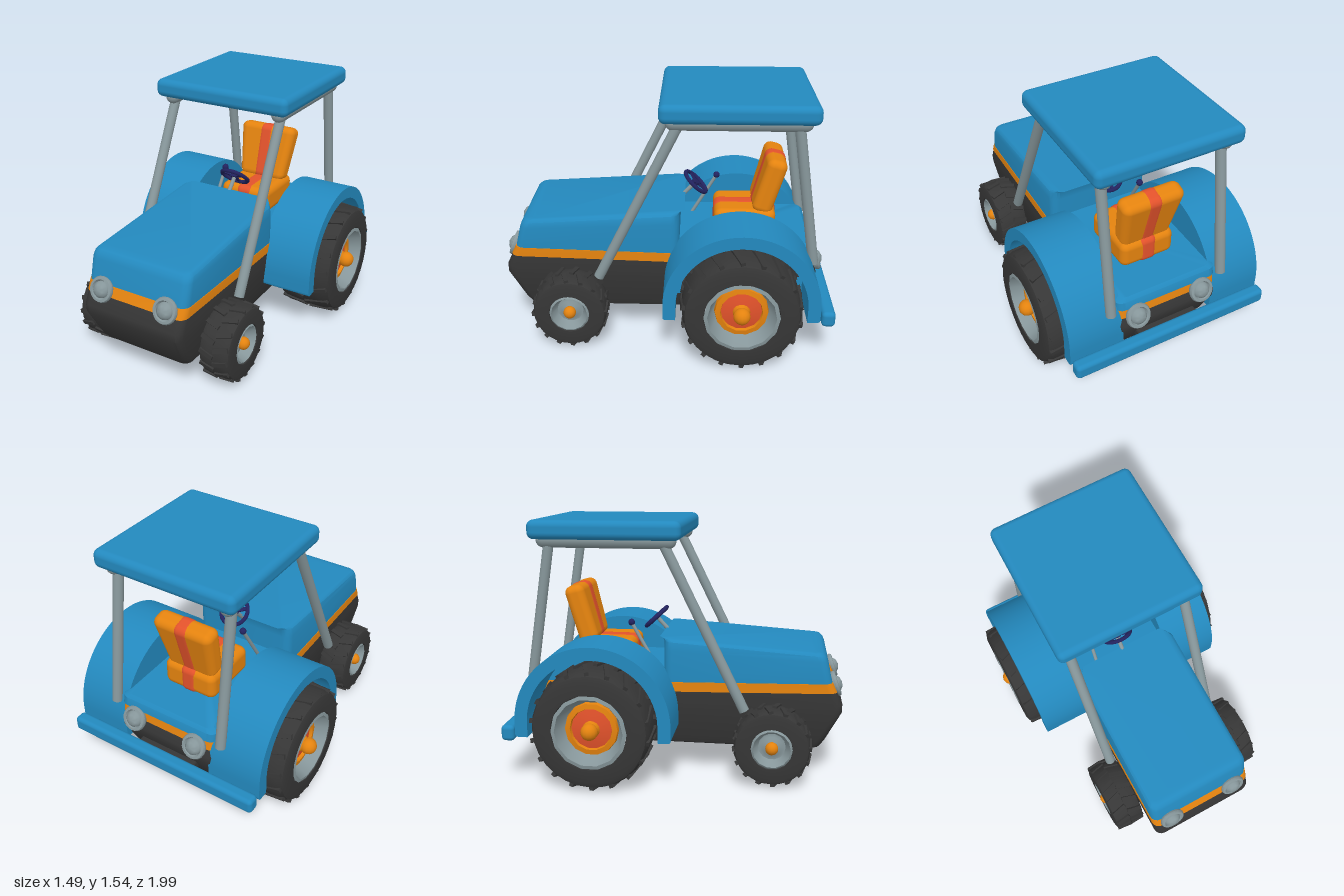
import * as THREE from 'three';
import { toCreasedNormals } from 'three/addons/utils/BufferGeometryUtils.js';
import { RoundedBoxGeometry } from 'three/addons/geometries/RoundedBoxGeometry.js';

const paint = (name, color) => {
  const m = new THREE.MeshStandardMaterial({ color });
  m.name = name;
  return m;
};

export function createModel() {
  const blue = paint('blue paint', 0x2389be);
  const grey = paint('grey metal', 0x87979b);
  const black = paint('black rubber', 0x363636);
  const orange = paint('orange paint', 0xe4830f);
  const red = paint('red paint', 0xe2522b);
  const navy = paint('navy plastic', 0x23235f);
  const model = new THREE.Group();
  model.name = 'tractor';

  const add = (name, geo, mat, pos = [0, 0, 0], parent = model) => {
    const mesh = new THREE.Mesh(geo, mat);
    mesh.name = name;
    mesh.position.set(...pos);
    parent.add(mesh);
    return mesh;
  };
  const box = (name, size, pos, r, mat, parent) =>
    add(name, new RoundedBoxGeometry(...size, 3, r), mat, pos, parent);
  const rod = (name, a, b, r, mat) => {
    const from = new THREE.Vector3(...a), to = new THREE.Vector3(...b);
    const mesh = add(name, new THREE.CylinderGeometry(r, r, from.distanceTo(to), 14), mat);
    mesh.position.copy(from).lerp(to, 0.5);
    mesh.quaternion.setFromUnitVectors(new THREE.Vector3(0, 1, 0), to.sub(from).normalize());
    return mesh;
  };

  // Stack of rounded rectangles, each [front z, front y, back z, back y, half width, corner]
  const loft = (levels) => {
    const verts = [], index = [], steps = 5, n = 4 * steps;
    for (const [zf, yf, zb, yb, w, r] of levels) {
      for (let c = 0; c < 4; c++) for (let s = 0; s < steps; s++) {
        const a = (c + s / (steps - 1)) * Math.PI / 2;
        const x = (c === 0 || c === 3 ? w - r : r - w) + r * Math.cos(a);
        const z = (c < 2 ? zf - r : zb + r) + r * Math.sin(a);
        verts.push(x, yb + (yf - yb) * (z - zb) / (zf - zb), z);
      }
    }
    for (let i = 0; i < levels.length - 1; i++) for (let j = 0; j < n; j++) {
      const a = i * n + j, b = i * n + (j + 1) % n;
      index.push(a, a + n, b, b, a + n, b + n);
    }
    const top = (levels.length - 1) * n;
    for (let j = 1; j < n - 1; j++) {
      index.push(0, j, j + 1);
      index.push(top, top + j + 1, top + j);
    }
    const g = new THREE.BufferGeometry();
    g.setAttribute('position', new THREE.Float32BufferAttribute(verts, 3));
    g.setIndex(index);
    return toCreasedNormals(g, 0.6);
  };

  // Body in coloured layers
  add('chassis', loft([
    [0.83, 0.17, -0.78, 0.17, 0.27, 0.05], [0.86, 0.185, -0.81, 0.185, 0.3, 0.05],
    [0.89, 0.23, -0.84, 0.23, 0.315, 0.05], [0.985, 0.41, -0.92, 0.4, 0.333, 0.05],
    [0.985, 0.46, -0.92, 0.44, 0.335, 0.05], [0.95, 0.535, -0.9, 0.49, 0.335, 0.05]]), black);
  add('bodyStripe', loft([[0.952, 0.535, -0.902, 0.49, 0.338, 0.05],
    [0.925, 0.592, -0.89, 0.55, 0.338, 0.05]]), orange);
  add('hood', loft([[0.922, 0.592, -0.08, 0.56, 0.335, 0.05], [0.89, 0.72, -0.08, 0.76, 0.335, 0.05],
    [0.878, 0.75, -0.08, 0.815, 0.328, 0.05], [0.86, 0.767, -0.09, 0.83, 0.312, 0.04],
    [0.83, 0.772, -0.11, 0.836, 0.29, 0.03]]), blue);
  add('deck', loft([[-0.05, 0.57, -0.9, 0.55, 0.333, 0.05], [-0.05, 0.61, -0.89, 0.6, 0.333, 0.05],
    [-0.05, 0.63, -0.87, 0.62, 0.31, 0.05]]), blue);
  box('rearBumper', [1.28, 0.095, 0.08], [0, 0.305, -0.96], 0.025, blue);
  box('bumperMount', [0.4, 0.07, 0.12], [0, 0.305, -0.88], 0.02, black);

  // Arched fenders with inner walls
  const arch = (inner) => {
    const s = new THREE.Shape();
    s.moveTo(0.46, -0.07);
    s.lineTo(0.46, 0);
    s.absarc(0, 0, 0.46, 0, Math.PI, false);
    s.lineTo(-0.46, -0.07);
    s.quadraticCurveTo(-0.46, -0.09, -0.44, -0.09);
    if (inner) {
      s.lineTo(-inner, -0.09);
      s.lineTo(-inner, 0);
      s.absarc(0, 0, inner, Math.PI, 0, true);
      s.lineTo(inner, -0.09);
    }
    s.lineTo(0.44, -0.09);
    s.quadraticCurveTo(0.46, -0.09, 0.46, -0.07);
    return s;
  };
  const slab = (shape, depth) => toCreasedNormals(new THREE.ExtrudeGeometry(shape,
    { depth, bevelEnabled: false, curveSegments: 28 }).rotateY(-Math.PI / 2), 0.6);
  const fenderGeo = slab(arch(0.385), 0.31), wallGeo = slab(arch(0), 0.035);
  for (const side of [-1, 1]) {
    add('fender', fenderGeo, blue, [side < 0 ? -0.33 : 0.64, 0.38, -0.45]);
    add('fenderWall', wallGeo, blue, [side < 0 ? -0.299 : 0.334, 0.38, -0.45]);
  }

  // Wheels, built along +x with the outer face at +h
  const lathe = (pts, n) => toCreasedNormals(new THREE.LatheGeometry(
    pts.map((p) => new THREE.Vector2(...p)), n).rotateZ(-Math.PI / 2), 0.7);
  const wheel = (name, side, x, y, z, R, h, rim, bands, hub, lugs) => {
    const g = new THREE.Group();
    g.name = name;
    g.position.set(side * x, y, z);
    if (side < 0) g.rotation.y = Math.PI;
    model.add(g);
    const r = R - 0.012;
    add('tyre', lathe([[0, 0.04 - h], [rim, 0.04 - h], [rim, -h], [r * 0.87, -h], [r * 0.95, -h * 0.94],
      [r * 0.99, -h * 0.75], [r, -h * 0.4], [r, h * 0.4], [r * 0.99, h * 0.75], [r * 0.95, h * 0.94],
      [r * 0.87, h], [rim, h], [rim * 0.98, h - 0.02]], 28), black, [0, 0, 0], g);
    for (const b of bands) add(b[0], lathe(b[2], 14), b[1], [0, 0, 0], g);
    add('hub', new THREE.SphereGeometry(hub, 14, 10), orange, [h - 0.025, 0, 0], g);
    // Angled tread bars, staggered on the two halves
    const bar = new THREE.BoxGeometry(h * 0.95, 0.024, 0.026);
    for (let i = 0; i < lugs; i++) for (const half of [-1, 1]) {
      const pivot = new THREE.Group();
      pivot.name = 'tread';
      pivot.rotation.x = (i + half * 0.25) / lugs * Math.PI * 2;
      g.add(pivot);
      const m = add('treadBar', bar, black, [half * h * 0.45, R - 0.015, 0], pivot);
      m.rotation.set(0, half * 0.3, -half * 0.06);
    }
  };
  for (const s of [-1, 1]) {
    const a = 0.18, b = 0.097;
    wheel('rearWheel', s, 0.54, 0.36, -0.45, 0.36, a, 0.222, [
      ['rim', grey, [[0.222, a - 0.005], [0.2, a], [0.165, a - 0.09], [0.155, a - 0.1]]],
      ['rimRing', orange, [[0.16, a - 0.1], [0.155, a - 0.07], [0.125, a - 0.065], [0.12, a - 0.085]]],
      ['rimDisc', red, [[0.125, a - 0.085], [0.05, a - 0.07], [0, a - 0.07]]],
      ['hubStalk', orange, [[0.055, a - 0.08], [0.035, a - 0.025], [0, a - 0.025]]],
    ], 0.05, 18);
    wheel('frontWheel', s, 0.427, 0.24, 0.58, 0.235, b, 0.122, [
      ['rim', grey, [[0.122, b - 0.01], [0.11, b], [0.08, b - 0.06], [0.06, b - 0.06], [0.03, b - 0.04], [0, b - 0.04]]],
    ], 0.038, 16);
  }
  rod('rearAxle', [-0.45, 0.36, -0.45], [0.45, 0.36, -0.45], 0.06, black);
  rod('frontAxle', [-0.4, 0.24, 0.58], [0.4, 0.24, 0.58], 0.045, black);

  // Roof on four posts and two rails
  box('roof', [0.905, 0.113, 0.905], [0, 1.478, -0.412], 0.04, blue);
  for (const s of [-1, 1]) {
    const x = s * 0.37;
    add('roofRail', new THREE.CapsuleGeometry(0.046, 0.74, 6, 14).rotateX(Math.PI / 2), grey, [x, 1.416, -0.41]);
    rod('frontPost', [x, 0.42, 0.41], [x, 1.4, -0.07], 0.031, grey);
    rod('rearPost', [x, 0.54, -0.885], [x, 1.4, -0.75], 0.031, grey);
  }

  // Lamps front and back
  const lampGeo = toCreasedNormals(new THREE.LatheGeometry([[0, -0.05], [0.055, -0.05], [0.074, -0.01],
    [0.078, 0.005], [0.072, 0.018], [0.058, 0.02], [0.05, 0.005], [0.047, 0.02], [0.03, 0.036], [0, 0.043]]
    .map((p) => new THREE.Vector2(...p)), 20), 0.7);
  for (const s of [-1, 1]) {
    add('headlamp', lampGeo, grey, [s * 0.217, 0.565, 0.942]).rotation.x = Math.PI / 2 - 0.35;
    add('rearLamp', lampGeo, grey, [s * 0.213, 0.495, -0.92]).rotation.x = 0.35 - Math.PI / 2;
  }

  // Seat with a red centre panel
  box('seatCushion', [0.35, 0.17, 0.38], [0, 0.7, -0.48], 0.045, orange);
  box('cushionPanel', [0.125, 0.176, 0.388], [0, 0.7, -0.48], 0.04, red);
  const back = new THREE.Group();
  back.name = 'seatBack';
  back.position.set(0, 0.935, -0.625);
  back.rotation.x = -0.26;
  model.add(back);
  const backrest = new RoundedBoxGeometry(0.36, 0.37, 0.125, 4, 0.045);
  const p = backrest.attributes.position;
  for (let i = 0; i < p.count; i++) p.setX(i, p.getX(i) * (1 + p.getY(i) * 0.68));
  add('backrest', backrest, orange, [0, 0, 0], back);
  box('backrestPanel', [0.13, 0.374, 0.131], [0, 0, 0], 0.045, red, back);

  // Steering wheel and lever
  rod('steeringColumn', [0, 0.79, -0.07], [0, 0.9, -0.172], 0.013, grey);
  const steer = new THREE.Group();
  steer.name = 'steeringWheel';
  steer.position.set(0, 0.903, -0.175);
  steer.rotation.x = -0.75;
  model.add(steer);
  add('steeringRim', new THREE.TorusGeometry(0.088, 0.013, 8, 24).rotateX(Math.PI / 2), navy, [0, 0, 0], steer);
  add('steeringHub', new THREE.CylinderGeometry(0.026, 0.026, 0.02, 14), navy, [0, 0, 0], steer);
  for (let i = 0; i < 3; i++) {
    const spoke = new THREE.BoxGeometry(0.085, 0.01, 0.022).translate(0.045, 0, 0);
    add('spoke', spoke, navy, [0, 0, 0], steer).rotation.y = Math.PI / 2 + i * Math.PI * 2 / 3;
  }
  rod('gearLever', [-0.16, 0.6, -0.14], [-0.148, 0.89, -0.308], 0.011, grey);
  add('leverKnob', new THREE.SphereGeometry(0.021, 12, 10), navy, [-0.148, 0.892, -0.308]);
  return model;
}
